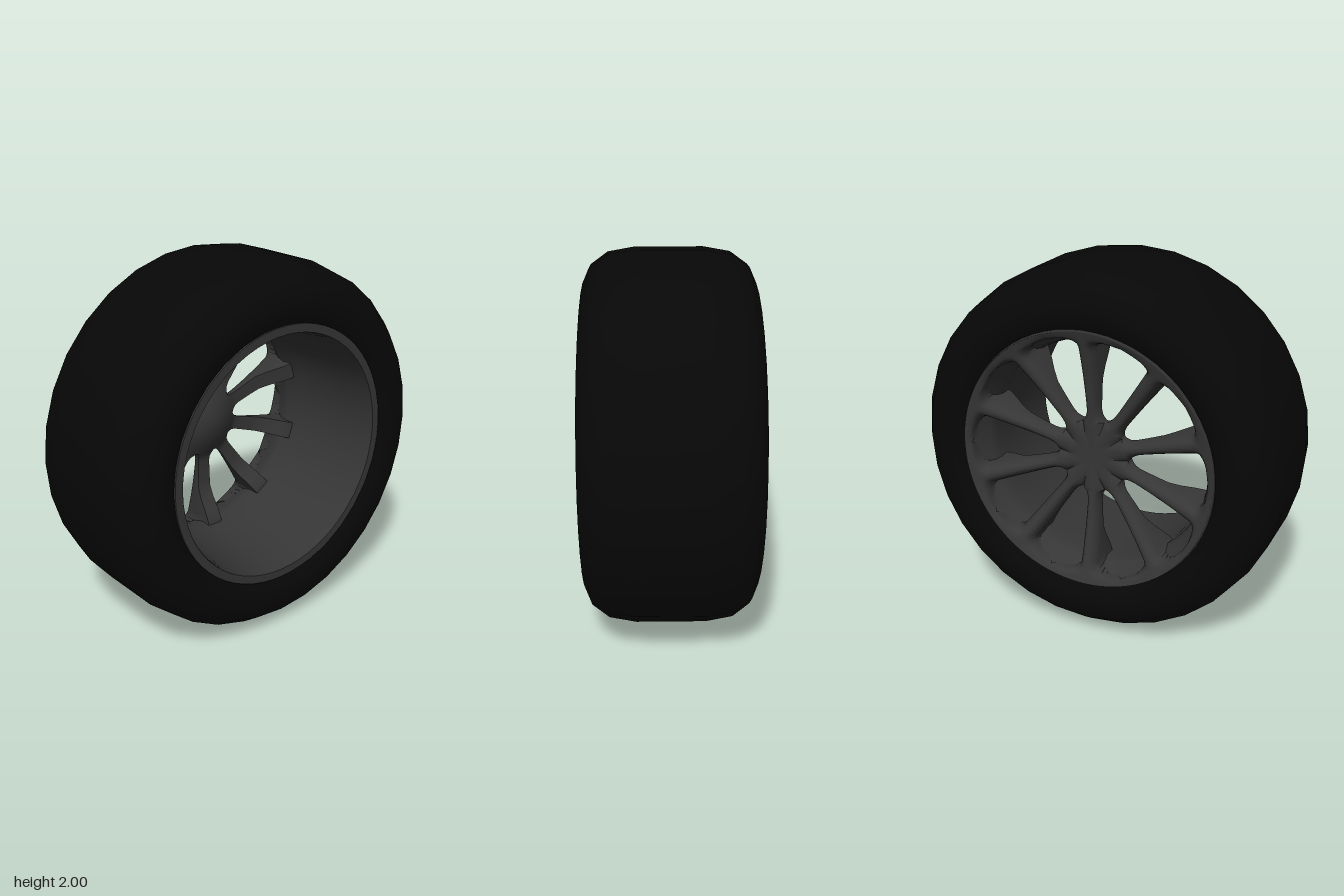
import * as THREE from 'three';
import { mergeGeometries, toCreasedNormals } from 'three/addons/utils/BufferGeometryUtils.js';

const SPOKES = 10;
const HALF_SECTOR = Math.PI / SPOKES;
const HUB_RADIUS = 0.197;
const { lerp, clamp, smoothstep } = THREE.MathUtils;

const rubber = new THREE.MeshStandardMaterial({ color: 0x070707, side: THREE.DoubleSide });
const metal = new THREE.MeshStandardMaterial({ color: 0x363636, side: THREE.DoubleSide });

// Surface of revolution around z; points are [radius, z]
function turned(name, points, material, segments, crease = 0) {
  let geo = new THREE.LatheGeometry(points.map(([r, z]) => new THREE.Vector2(r, z)), segments);
  geo.rotateX(Math.PI / 2);
  if (crease) geo = toCreasedNormals(geo, crease);
  const mesh = new THREE.Mesh(geo, material);
  mesh.name = name;
  return mesh;
}

// Quarter-circle fillet: 0 at f = 0, 1 at f = 1
const fillet = (f) => 1 - Math.sqrt(1 - clamp(f, 0, 1) ** 2);

// Half the angle a spoke covers: the outer face flares into hub and rim, the inner only into the hub
function halfAngle(r, outer) {
  if (r <= HUB_RADIUS) return HALF_SECTOR;
  const base = (0.038 + 0.03 * Math.max(0, r - 0.28)) / r;
  const hubFlare = fillet((0.255 - r) / (0.255 - HUB_RADIUS));
  const rimFlare = outer ? fillet((r - 0.61) / 0.055) : 0;
  return lerp(base, HALF_SECTOR, Math.max(hubFlare, rimFlare));
}

// Dished outer face, and inner face with the hub dome and an arch towards the barrel
const outerZ = (r) => -0.31 - 0.11 * (r / 0.69) ** 2;
const innerZ = (r) => -0.26 + 0.085 * Math.max(0, 1 - (r / 0.24) ** 2) ** 1.3
  + 0.1 * smoothstep(r, 0.4, 0.63);

// One spoke with its slice of hub and rim edge, lofted along +x with a rounded outer crown
function spokeGeometry() {
  const radii = [0, 0.04, 0.08, 0.12, 0.16, HUB_RADIUS, 0.2, 0.206, 0.215, 0.23, 0.255, 0.3, 0.36,
    0.42, 0.48, 0.54, 0.585, 0.61, 0.63, 0.645, 0.655, 0.661, 0.665, 0.68, 0.697];
  const across = 12;
  const ring = 2 * (across + 1);
  const positions = [];
  const indices = [];
  radii.forEach((r, i) => {
    const drop = 0.05 * smoothstep(r, 0.08, 0.26) * (1 - smoothstep(r, 0.62, 0.69));
    for (let j = 0; j < ring; j++) {
      const outer = j <= across;
      const t = outer ? -1 + 2 * j / across : 1 - 2 * (j - across - 1) / across;
      const angle = t * halfAngle(r, outer);
      const z = outer ? outerZ(r) + drop * Math.abs(t) ** 2.5 : innerZ(r);
      positions.push(r * Math.cos(angle), r * Math.sin(angle), z);
      // No side walls where neighbouring slices meet in the hub
      const wall = j === across || j === ring - 1;
      if (i === 0 || (wall && r <= HUB_RADIUS)) continue;
      const k = (j + 1) % ring;
      const a = (i - 1) * ring + j, b = (i - 1) * ring + k;
      const c = i * ring + k, d = i * ring + j;
      if (i > 1) indices.push(a, b, c);
      indices.push(a, c, d);
    }
  });
  const geo = new THREE.BufferGeometry();
  geo.setAttribute('position', new THREE.Float32BufferAttribute(positions, 3));
  geo.setIndex(indices);
  return geo;
}

export function createModel() {
  const wheel = new THREE.Group();
  wheel.name = 'wheel';

  // Tyre: mirrored profile from one bead over the tread to the other
  const sideProfile = [[0.68, 0.33], [0.7, 0.4], [0.76, 0.434], [0.83, 0.445], [0.91, 0.41],
    [0.975, 0.32], [1, 0.18]];
  const tyreProfile = [
    ...sideProfile.map(([r, z]) => [r, -z]), [1, 0], ...sideProfile.slice().reverse(),
  ];
  wheel.add(turned('tyre', tyreProfile, rubber, 32));

  // Rim: tapering barrel, deep open front and flared back edge
  const rim = new THREE.Group();
  rim.name = 'rim';
  rim.add(turned('barrel', [[0.703, -0.37], [0.705, -0.405], [0.695, -0.42], [0.68, -0.4],
    [0.66, -0.345], [0.625, -0.28], [0.61, -0.22], [0.62, -0.1], [0.635, 0.2], [0.648, 0.36],
    [0.655, 0.41]], metal, 64));
  rim.add(turned('frontLip', [[0.655, 0.4], [0.657, 0.412], [0.702, 0.412], [0.702, 0.36]], metal, 64, 0.6));
  wheel.add(rim);

  // Spokes repeated around the axle, meeting in the hub
  const spokeParts = [];
  for (let i = 0; i < SPOKES; i++) {
    spokeParts.push(spokeGeometry().rotateZ(HALF_SECTOR * (2 * i + 1)));
  }
  const spokes = new THREE.Mesh(toCreasedNormals(mergeGeometries(spokeParts), 0.7), metal);
  spokes.name = 'spokesAndHub';
  wheel.add(spokes);

  wheel.children.forEach((part) => { part.position.y = 1; });
  return wheel;
}
